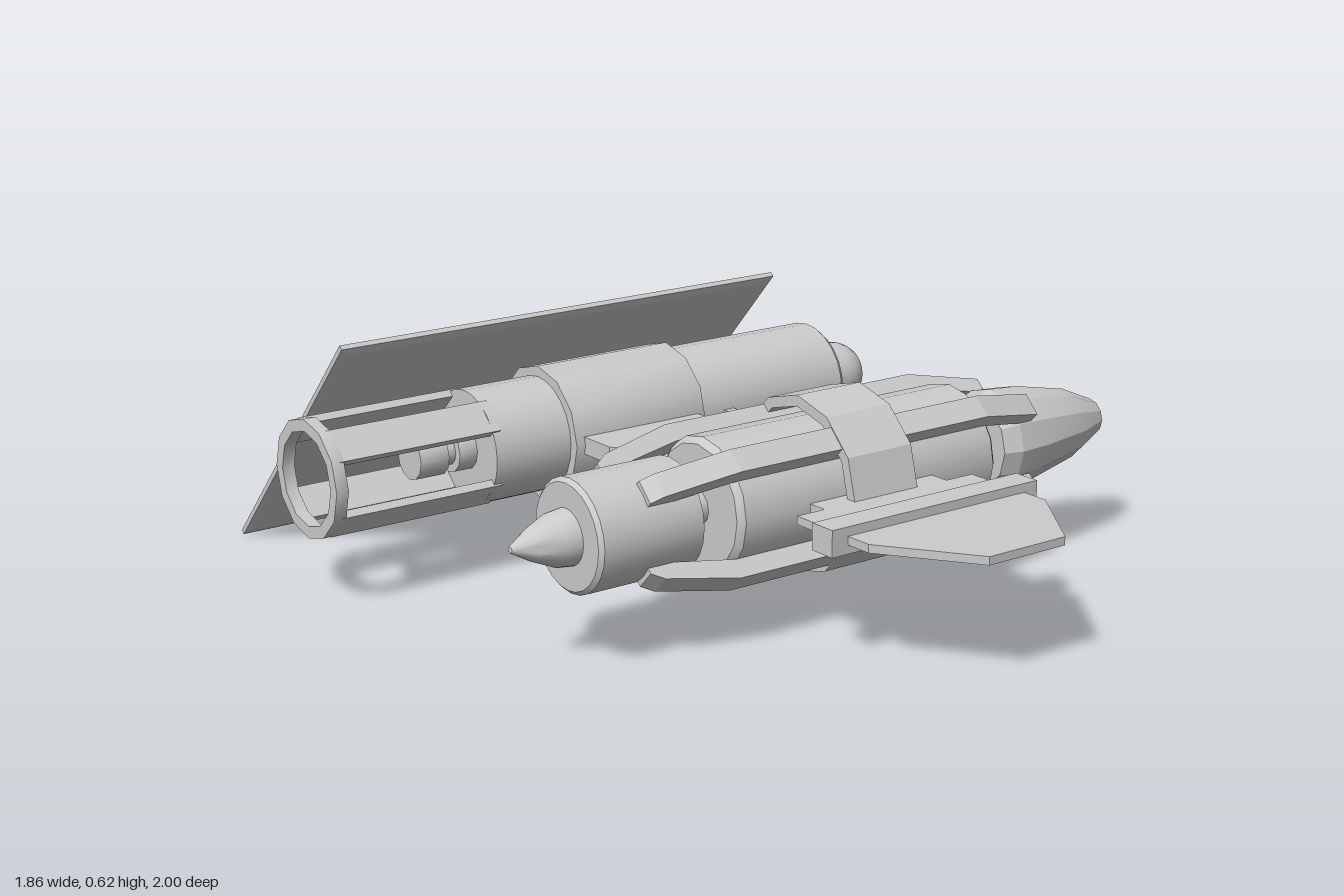
import * as THREE from 'three';
import { toCreasedNormals } from 'three/addons/utils/BufferGeometryUtils.js';

const material = new THREE.MeshStandardMaterial({ color: 0xcccccc });

function add(parent, name, geometry) {
  const mesh = new THREE.Mesh(geometry, material);
  mesh.name = name;
  parent.add(mesh);
  return mesh;
}

// Solid of revolution around x; profile is [x, radius] running toward +x
function turned(profile, sides = 24, crease = 0.5) {
  const points = profile.map(([x, r]) => new THREE.Vector2(r, x));
  const geometry = new THREE.LatheGeometry(points, sides).rotateZ(-Math.PI / 2);
  return toCreasedNormals(geometry, crease);
}

// Hollow ring around x
const ring = (x0, x1, outer, inner, sides, crease) =>
  turned([[x0, inner], [x0, outer], [x1, outer], [x1, inner], [x0, inner]], sides, crease);

// Flat plate lofted along z through sections [z, xLeft, xRight, halfThickness]
function plate(sections) {
  const positions = [], index = [];
  for (const [z, a, b, h] of sections) positions.push(a, -h, z, b, -h, z, b, h, z, a, h, z);
  for (let s = 0; s < sections.length - 1; s++) {
    for (let k = 0; k < 4; k++) {
      const p = s * 4 + k, q = s * 4 + (k + 1) % 4;
      index.push(p, q, q + 4, p, q + 4, p + 4);
    }
  }
  const e = positions.length / 3 - 4;
  index.push(0, 2, 1, 0, 3, 2, e, e + 1, e + 2, e, e + 2, e + 3);
  const geometry = new THREE.BufferGeometry();
  geometry.setAttribute('position', new THREE.Float32BufferAttribute(positions, 3));
  geometry.setIndex(index);
  return toCreasedNormals(geometry, 0.1);
}

const box = (x0, x1, y0, y1, z0, z1) =>
  new THREE.BoxGeometry(x1 - x0, y1 - y0, z1 - z0)
    .translate((x0 + x1) / 2, (y0 + y1) / 2, (z0 + z1) / 2);

function createMainHull() {
  const hull = new THREE.Group();
  hull.name = 'mainHull';
  hull.position.set(0, 0.318, 0.315);

  add(hull, 'rearSpike', turned([[-0.83, 0], [-0.828, 0.008], [-0.775, 0.038], [-0.72, 0.062], [-0.67, 0.068]]));
  add(hull, 'rearDrum', turned([[-0.68, 0], [-0.68, 0.125], [-0.67, 0.135], [-0.4, 0.135], [-0.4, 0]]));
  add(hull, 'shaft', turned([[-0.41, 0.043], [-0.3, 0.043]], 12, 0.6));
  // Central body with a shallow dished front end
  add(hull, 'body', turned([[-0.32, 0], [-0.32, 0.15], [-0.305, 0.165], [0.445, 0.165],
    [0.46, 0.15], [0.46, 0.125], [0.43, 0.11], [0.43, 0]], 16));
  add(hull, 'nose', turned([[0.53, 0], [0.53, 0.115], [0.58, 0.13], [0.67, 0.123],
    [0.83, 0.09], [0.93, 0.047], [0.93, 0]], 12, 0.3));
  add(hull, 'band', ring(-0.03, 0.16, 0.217, 0.19, 12, 0.3));

  // Four tapering rails on the diagonals
  const outline = [[-0.54, 0.125], [-0.5, 0.125], [-0.31, 0.16], [0.43, 0.16], [0.58, 0.125],
    [0.62, 0.125], [0.62, 0.155], [0.42, 0.207], [-0.32, 0.207], [-0.51, 0.165], [-0.54, 0.145]];
  const shape = new THREE.Shape(outline.map(([x, r]) => new THREE.Vector2(x, r)));
  const railGeometry = new THREE.ExtrudeGeometry(shape, { depth: 0.06, bevelEnabled: false }).translate(0, 0, -0.03);
  for (let i = 0; i < 4; i++) {
    add(hull, 'rail', railGeometry).rotation.x = Math.PI / 4 + i * Math.PI / 2;
  }
  return hull;
}

function createSideModule() {
  const pod = new THREE.Group();
  pod.name = 'sideModule';
  pod.position.set(0, 0.318, -0.415);

  add(pod, 'tube', turned([[-0.49, 0], [-0.49, 0.145], [-0.2, 0.145], [0.1, 0.152],
    [0.585, 0.152], [0.6, 0.14], [0.6, 0]]));
  add(pod, 'collar', turned([[-0.275, 0.14], [-0.275, 0.172], [0.12, 0.172], [0.12, 0.14]], 12, 0.6));
  // Rounded end cap
  const dome = [[0.59, 0.086], [0.67, 0.086]];
  for (let i = 1; i <= 6; i++) {
    const a = i / 6 * Math.PI / 2;
    dome.push([0.67 + 0.09 * Math.sin(a), 0.086 * Math.cos(a)]);
  }
  add(pod, 'endDome', turned(dome));

  // Open cage with docking fitting inside
  add(pod, 'dockingFitting', turned([[-0.65, 0], [-0.65, 0.055], [-0.57, 0.055], [-0.57, 0.035],
    [-0.54, 0.035], [-0.54, 0.055], [-0.48, 0.055]], 12, 0.6));
  add(pod, 'cageRing', ring(-0.932, -0.9, 0.148, 0.118, 12, 0.6));
  const barGeometry = box(-0.91, -0.47, 0.122, 0.142, -0.044, 0.044);
  for (let i = 0; i < 4; i++) {
    add(pod, 'cageBar', barGeometry).rotation.x = Math.PI / 4 + i * Math.PI / 2;
  }
  return pod;
}

// Tilted rectangular panel with chamfered rims
function createPanel() {
  const w = 1.295 / 2 - 0.02, h = 0.833 / 2 - 0.02;
  const shape = new THREE.Shape([[-w, -h], [w, -h], [w, h], [-w, h]].map(([x, y]) => new THREE.Vector2(x, y)));
  const geometry = new THREE.ExtrudeGeometry(shape, {
    depth: 0.013, bevelThickness: 0.006, bevelSize: 0.02, bevelSegments: 1,
  }).translate(0, 0, -0.0065);
  const panel = new THREE.Mesh(geometry, material);
  panel.name = 'panel';
  panel.position.set(-0.173, 0.315, -0.7075);
  panel.rotation.x = 0.75;
  return panel;
}

export function createModel() {
  const model = new THREE.Group();
  model.name = 'spacecraft';
  model.add(createMainHull(), createSideModule(), createPanel());

  // Thin plates on the mid-plane
  const plates = new THREE.Group();
  plates.name = 'plates';
  plates.position.y = 0.318;
  model.add(plates);
  add(plates, 'bridge', plate([[-0.27, -0.25, 0.1, 0.022], [-0.2, -0.25, 0.1, 0.022],
    [-0.2, -0.25, 0.32, 0.022], [-0.14, -0.25, 0.32, 0.022], [-0.1, -0.2, 0.32, 0.016],
    [-0.06, -0.2, 0.32, 0.01], [0.0, -0.2, 0.32, 0.01], [0.04, -0.2, 0.34, 0.01],
    [0.08, -0.25, 0.37, 0.018], [0.13, -0.25, 0.4, 0.023], [0.17, -0.25, 0.4, 0.023]]));
  add(plates, 'bridgePost', box(0.195, 0.225, -0.012, 0.012, -0.29, -0.19));
  add(plates, 'bridgePeg', box(0.24, 0.36, -0.024, 0.024, -0.06, -0.028));
  add(plates, 'fin', plate([[0.46, -0.12, 0.25, 0.01], [0.53, -0.12, 0.25, 0.01], [0.53, -0.2, 0.33, 0.01],
    [0.78, -0.2, 0.33, 0.01], [1, -0.045, 0.18, 0.01]]));
  add(plates, 'finBar', box(-0.245, 0.37, -0.032, 0.032, 0.64, 0.71));
  add(plates, 'panelMount', box(-0.275, 0.12, -0.009, 0.009, -0.71, -0.55));
  return model;
}
